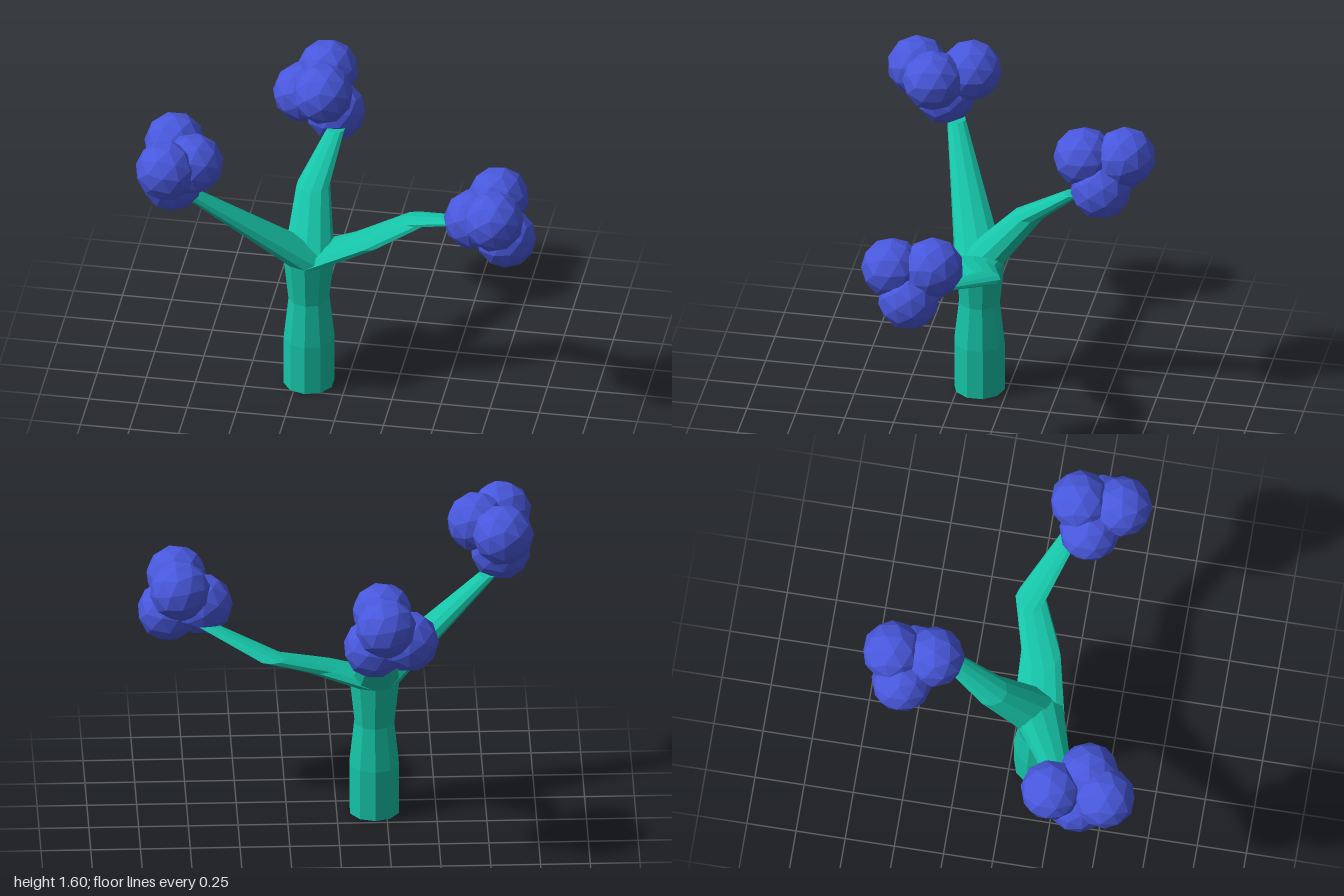
import * as THREE from 'three';

const bark = new THREE.MeshStandardMaterial({ color: 0x16c4a8, flatShading: true });
const leaf = new THREE.MeshStandardMaterial({ color: 0x4858dc, flatShading: true });

// Ten-sided limb through horizontal rings, each given as [x, y, z, radius]
function limb(name, rings) {
  const n = rings.length - 1;
  const geo = new THREE.CylinderGeometry(1, 1, 1, 10, n);
  const p = geo.attributes.position;
  for (let i = 0; i < p.count; i++) {
    const [x, y, z, r] = rings[Math.round((p.getY(i) + 0.5) * n)];
    p.setXYZ(i, x + p.getX(i) * r, y, z + p.getZ(i) * r);
  }
  geo.computeVertexNormals();
  const mesh = new THREE.Mesh(geo, bark);
  mesh.name = name;
  return mesh;
}

// Cluster of faceted balls, each given as [x, y, z]
function foliage(name, balls, offset = [0, 0, 0]) {
  const group = new THREE.Group();
  group.name = name;
  group.position.set(...offset);
  balls.forEach((c, i) => {
    const ball = new THREE.Mesh(new THREE.IcosahedronGeometry(0.154, 1), leaf);
    ball.name = `leafBall${i + 1}`;
    ball.position.set(...c);
    ball.rotation.set(0.5 * i, 0.9 * i, 0.3 * i);
    group.add(ball);
  });
  return group;
}

export function createModel() {
  const tree = new THREE.Group();
  tree.name = 'tree';
  const x = -0.19, z = 0.145, r = 0.129;
  const fork = [x, 0.73, z, r];

  // Trunk with a slight waist
  tree.add(limb('trunk', [[x, 0, z, r], [x, 0.27, z, r], [x, 0.5, z, 0.104], fork]));

  // Three branches leaving the fork
  tree.add(limb('rightBranch', [fork, [-0.48, 0.965, 0.26, 0.088], [-0.77, 1.2, 0.375, 0.048]]));
  tree.add(limb('leftBranch', [fork, [0.09, 0.835, 0.108, 0.1], [0.335, 0.93, 0.015, 0.077], [0.67, 1.05, 0.17, 0.045]]));
  tree.add(limb('backBranch', [fork, [-0.21, 1.01, -0.1, 0.086], [-0.135, 1.2, -0.345, 0.045]]));

  // Foliage at the branch tips
  const cluster = [[-0.335, 1.28, -0.53], [-0.22, 1.387, -0.595], [-0.21, 1.37, -0.385], [-0.163, 1.222, -0.48]];
  tree.add(foliage('backFoliage', cluster));
  tree.add(foliage('leftFoliage', cluster, [1.005, -0.165, 0.79]));
  tree.add(foliage('rightFoliage', [[-0.845, 1.445, 0.312], [-0.843, 1.445, 0.587], [-0.72, 1.437, 0.485], [-0.835, 1.3, 0.445]]));
  return tree;
}
